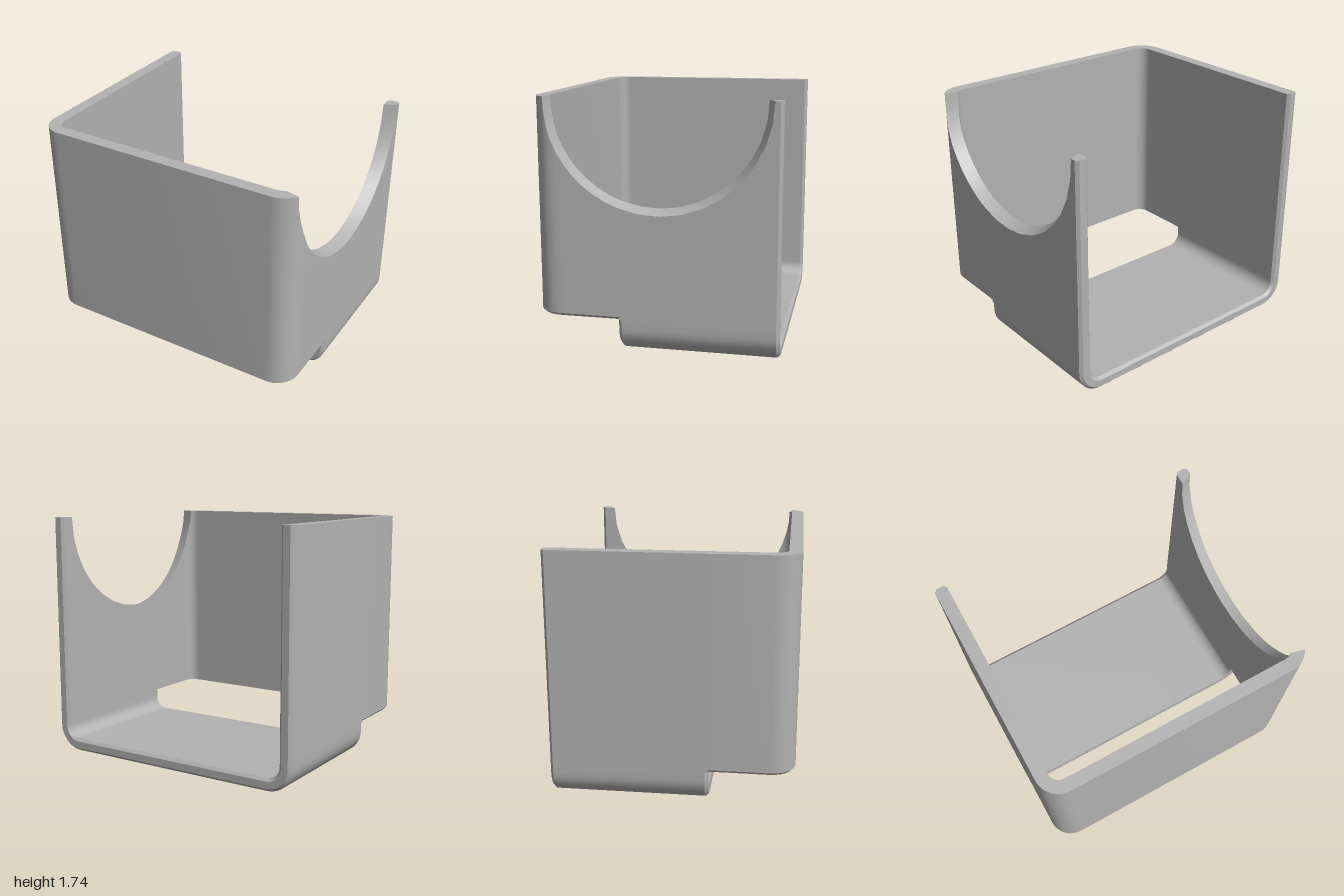
import * as THREE from 'three';
import { toCreasedNormals } from 'three/addons/utils/BufferGeometryUtils.js';

const W = 1, D = 0.84, H = 1.74, T = 0.09;   // half width, half depth, height, wall thickness
const STEP_Y = 0.24, STEP_Z = 0.25;          // open slot at the lower front
const BEVEL = 0.02, CORNER = 0.17, FLOOR_R = 0.18;

// Skin a row of closed cross-sections, optionally capping both ends
function skin(rings, capped) {
  const pos = [], n = rings[0].length;
  const tri = (a, b, c) => pos.push(...a, ...b, ...c);
  for (let i = 0; i < rings.length - 1; i++) {
    for (let j = 0; j < n; j++) {
      const k = (j + 1) % n, A = rings[i], B = rings[i + 1];
      tri(A[j], A[k], B[k]);
      tri(A[j], B[k], B[j]);
    }
  }
  if (capped) {
    const S = rings[0], E = rings[rings.length - 1];
    for (let k = 1; k < n - 1; k++) {
      tri(S[0], S[k + 1], S[k]);
      tri(E[0], E[k], E[k + 1]);
    }
  }
  const g = new THREE.BufferGeometry();
  g.setAttribute('position', new THREE.Float32BufferAttribute(pos, 3));
  return toCreasedNormals(g, 0.5);
}

// Half width of the wall's plan outline at depth z, for an offset from the outside
function wallX(z, offset) {
  const r = CORNER - offset, dz = Math.min(Math.max(z - (D - CORNER), 0), r);
  return W - CORNER + Math.sqrt(r * r - dz * dz);
}

// Vertical cross-section of the wall; bevelled below where it overhangs the slot
function wallRing(ox, oz, ix, iz, topO, topI, overhang) {
  const b = overhang ? BEVEL : 0;
  const f = b / T;
  return [
    [ox, STEP_Y + b, oz], [ox, topO, oz], [ix, topI, iz], [ix, STEP_Y, iz],
    [ox + (ix - ox) * f, STEP_Y, oz + (iz - oz) * f],
  ];
}

// Sections from the back edge up to the middle of the front; right side has the round cutout
function wallSide(cutout) {
  const rings = [
    wallRing(W - BEVEL, -D, W - T + BEVEL, -D, H, H, false),
    wallRing(W, -D + BEVEL, W - T, -D + BEVEL, H, H, false),
  ];
  let startO = 0, startI = 0;
  if (cutout) {
    const RO = 0.77, RI = 0.735, CO = -0.015, CI = -0.005;
    const split = Math.asin((STEP_Z - CO) / RO);
    const section = (t, overhang) => {
      const oz = CO + RO * Math.sin(t), iz = CI + RI * Math.sin(t);
      rings.push(wallRing(wallX(oz, 0), oz, wallX(iz, T), iz,
        H - RO * Math.cos(t), H - RI * Math.cos(t), overhang));
    };
    const N = 10;
    for (let i = 0; i <= N; i++) section(-Math.PI / 2 + (split + Math.PI / 2) * i / N, false);
    for (let i = 0; i <= N; i++) section(split + (Math.PI / 2 - split) * i / N, true);
    startO = Math.asin((CO + RO - D + CORNER) / CORNER);
    startI = Math.asin((CI + RI - D + CORNER) / (CORNER - T));
  } else {
    for (const overhang of [false, true]) {
      rings.push(wallRing(W, STEP_Z, W - T, STEP_Z, H, H, overhang));
    }
  }
  // rounded vertical corner
  const cx = W - CORNER, cz = D - CORNER, ri = CORNER - T;
  for (let i = 0; i <= 8; i++) {
    const a = startO + (Math.PI / 2 - startO) * i / 8;
    const b = startI + (Math.PI / 2 - startI) * i / 8;
    rings.push(wallRing(cx + CORNER * Math.cos(a), cz + CORNER * Math.sin(a),
      cx + ri * Math.cos(b), cz + ri * Math.sin(b), H, H, true));
  }
  return rings;
}

function buildWalls() {
  const left = wallSide(false).reverse();
  const mirrored = left.map(ring => ring.map(([x, y, z]) => [-x, y, z]));
  return skin([...wallSide(true), ...mirrored], true);
}

// Floor with rounded long edges that run up into the side walls
function buildFloor() {
  const section = at => [
    [...at(0), -D + BEVEL], [...at(0), STEP_Z - BEVEL], [...at(BEVEL), STEP_Z],
    [...at(T), STEP_Z], [...at(T), -D + BEVEL], [...at(T - BEVEL), -D], [...at(BEVEL), -D],
  ];
  const half = [section(d => [W - d, STEP_Y])];
  for (let i = 0; i <= 8; i++) {
    const a = Math.PI / 2 * i / 8;
    half.push(section(d => [
      W - FLOOR_R + (FLOOR_R - d) * Math.cos(a),
      FLOOR_R - (FLOOR_R - d) * Math.sin(a),
    ]));
  }
  const mirrored = [...half].reverse().map(ring => ring.map(([x, y, z]) => [-x, y, z]));
  return skin([...half, ...mirrored], false);
}

export function createModel() {
  const group = new THREE.Group();
  group.name = 'openBackHolder';
  const grey = new THREE.MeshStandardMaterial({ color: 0xb2b2b2 });
  grey.name = 'grey plastic';

  const walls = new THREE.Mesh(buildWalls(), grey);
  walls.name = 'wallsWithRoundCutout';
  const floor = new THREE.Mesh(buildFloor(), grey);
  floor.name = 'floor';
  group.add(walls, floor);
  return group;
}
